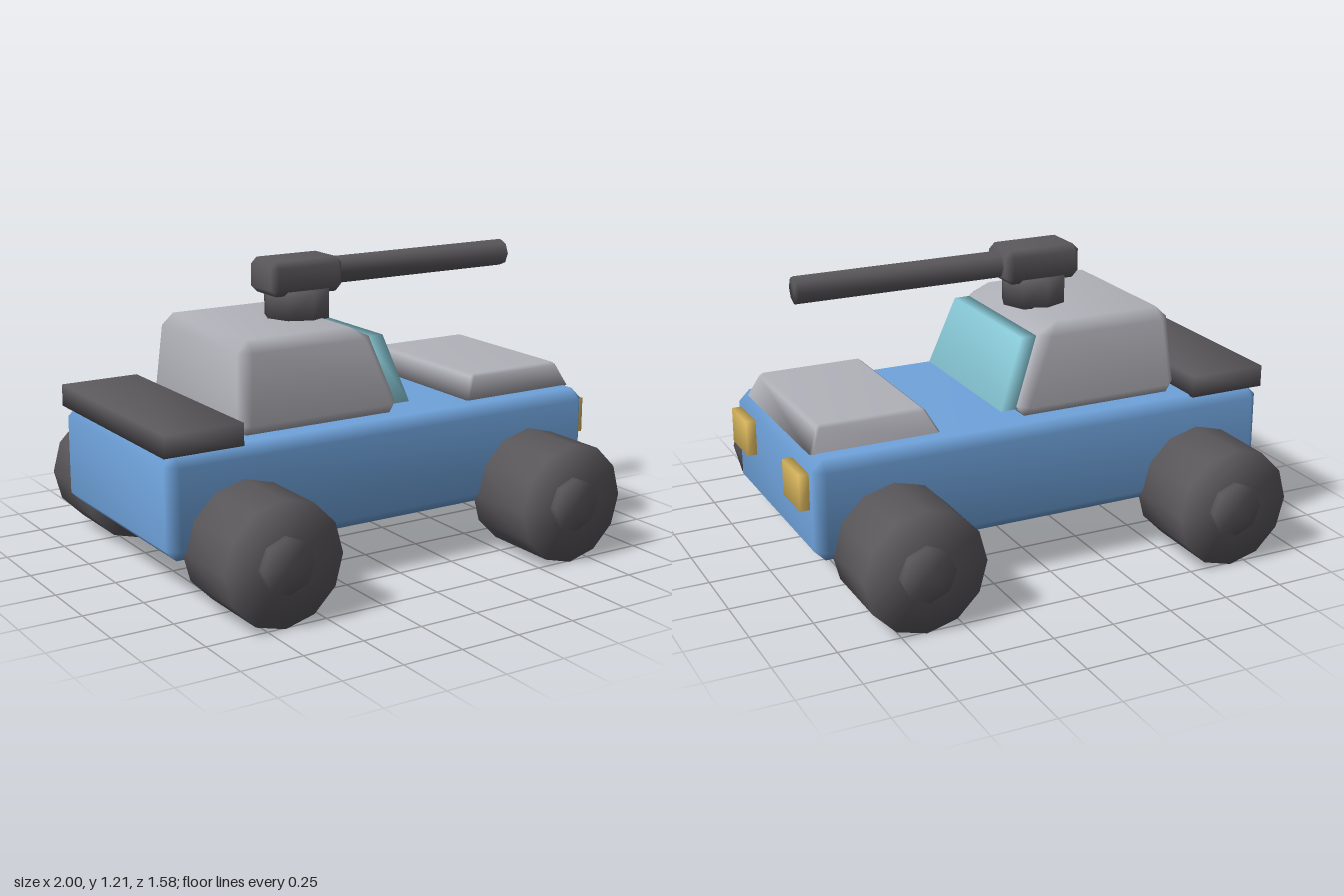
import * as THREE from 'three';
import { mergeVertices } from 'three/addons/utils/BufferGeometryUtils.js';

// Weld all corners so shading runs smoothly over the edges
function soften(geometry) {
  geometry.deleteAttribute('normal');
  geometry.deleteAttribute('uv');
  const welded = mergeVertices(geometry, 1e-4);
  welded.computeVertexNormals();
  return welded;
}

// Stack of chamfered rectangles, each [y, x0, x1, halfZ, chamfer]
function loft(rings) {
  const positions = [], index = [];
  for (const [y, x0, x1, z, c] of rings) {
    const corners = [
      [x1, -z + c], [x1, z - c], [x1 - c, z], [x0 + c, z],
      [x0, z - c], [x0, -z + c], [x0 + c, -z], [x1 - c, -z],
    ];
    for (const [px, pz] of corners) positions.push(px, y, pz);
  }
  for (let r = 0; r < rings.length - 1; r++) {
    for (let j = 0; j < 8; j++) {
      const a = r * 8 + j, b = r * 8 + (j + 1) % 8;
      index.push(a, a + 8, b + 8, a, b + 8, b);
    }
  }
  const top = (rings.length - 1) * 8;
  for (let j = 1; j < 7; j++) {
    index.push(0, j, j + 1, top, top + j + 1, top + j);
  }
  const geometry = new THREE.BufferGeometry();
  geometry.setAttribute('position', new THREE.Float32BufferAttribute(positions, 3));
  geometry.setIndex(index);
  return soften(geometry);
}

// Box with one flat bevel along every edge
function bevelBox(x0, x1, y0, y1, z, b) {
  return loft([
    [y0, x0 + b, x1 - b, z - b, 0],
    [y0 + b, x0, x1, z, b],
    [y1 - b, x0, x1, z, b],
    [y1, x0 + b, x1 - b, z - b, 0],
  ]);
}

const drum = (radius, length, sides) =>
  soften(new THREE.CylinderGeometry(radius, radius, length, sides));

export function createModel() {
  const model = new THREE.Group();
  model.name = 'armedBuggy';

  const paint = (name, color) => {
    const material = new THREE.MeshStandardMaterial({ color });
    material.name = name;
    return material;
  };
  const blue = paint('bodyBlue', 0x6fa3dc);
  const grey = paint('panelGrey', 0xb2b2ba);
  const dark = paint('darkGrey', 0x5c595d);
  const glass = paint('glass', 0x86c6d4);
  const yellow = paint('lampYellow', 0xdab75e);

  const add = (name, geometry, material, parent = model) => {
    const mesh = new THREE.Mesh(geometry, material);
    mesh.name = name;
    parent.add(mesh);
    return mesh;
  };

  // Hull, driving towards +x
  add('body', bevelBox(-0.99, 0.96, 0.21, 0.62, 0.47, 0.045), blue);

  // Cabin with a raked front
  add('cabin', loft([
    [0.62, -0.605, 0.045, 0.35, 0],
    [0.66, -0.637, 0.075, 0.382, 0.04],
    [0.93, -0.618, -0.03, 0.355, 0.045],
    [0.976, -0.57, -0.12, 0.305, 0],
  ]), grey);

  // Slanted windscreen slab
  add('windscreen', loft([
    [0.65, 0.065, 0.143, 0.343, 0],
    [0.927, -0.04, 0.038, 0.306, 0],
  ]), glass);

  // Hood and rear deck
  add('hood', loft([
    [0.618, 0.412, 0.942, 0.37, 0.01],
    [0.705, 0.458, 0.9, 0.34, 0.01],
    [0.717, 0.475, 0.885, 0.325, 0],
  ]), grey);
  add('rearDeck', loft([
    [0.615, -1, -0.67, 0.453, 0],
    [0.703, -1, -0.67, 0.453, 0],
  ]), dark);

  // Headlights
  for (const side of [-1, 1]) {
    const lamp = add('headlight', soften(new THREE.BoxGeometry(0.06, 0.145, 0.183)), yellow);
    lamp.position.set(0.97, 0.487, side * 0.308);
  }

  // Wheels with hubs
  const tyreShape = drum(0.246, 0.328, 12);
  const hubShape = drum(0.11, 0.08, 8);
  for (const x of [-0.68, 0.65]) {
    for (const side of [-1, 1]) {
      const wheel = new THREE.Group();
      wheel.name = 'wheel';
      wheel.position.set(x, 0.248, side * 0.596);
      wheel.rotation.x = side * Math.PI / 2;
      add('tyre', tyreShape, dark, wheel);
      add('hub', hubShape, dark, wheel).position.y = 0.152;
      model.add(wheel);
    }
  }

  // Roof gun
  add('gunMount', drum(0.133, 0.12, 8), dark).position.set(-0.172, 1.03, 0);
  add('gunHousing', bevelBox(-0.335, -0.01, 1.073, 1.213, 0.103, 0.026), dark);
  const barrel = add('gunBarrel', drum(0.056, 0.9, 8), dark);
  barrel.rotation.z = -Math.PI / 2;
  barrel.position.set(0.4, 1.143, 0);

  return model;
}
